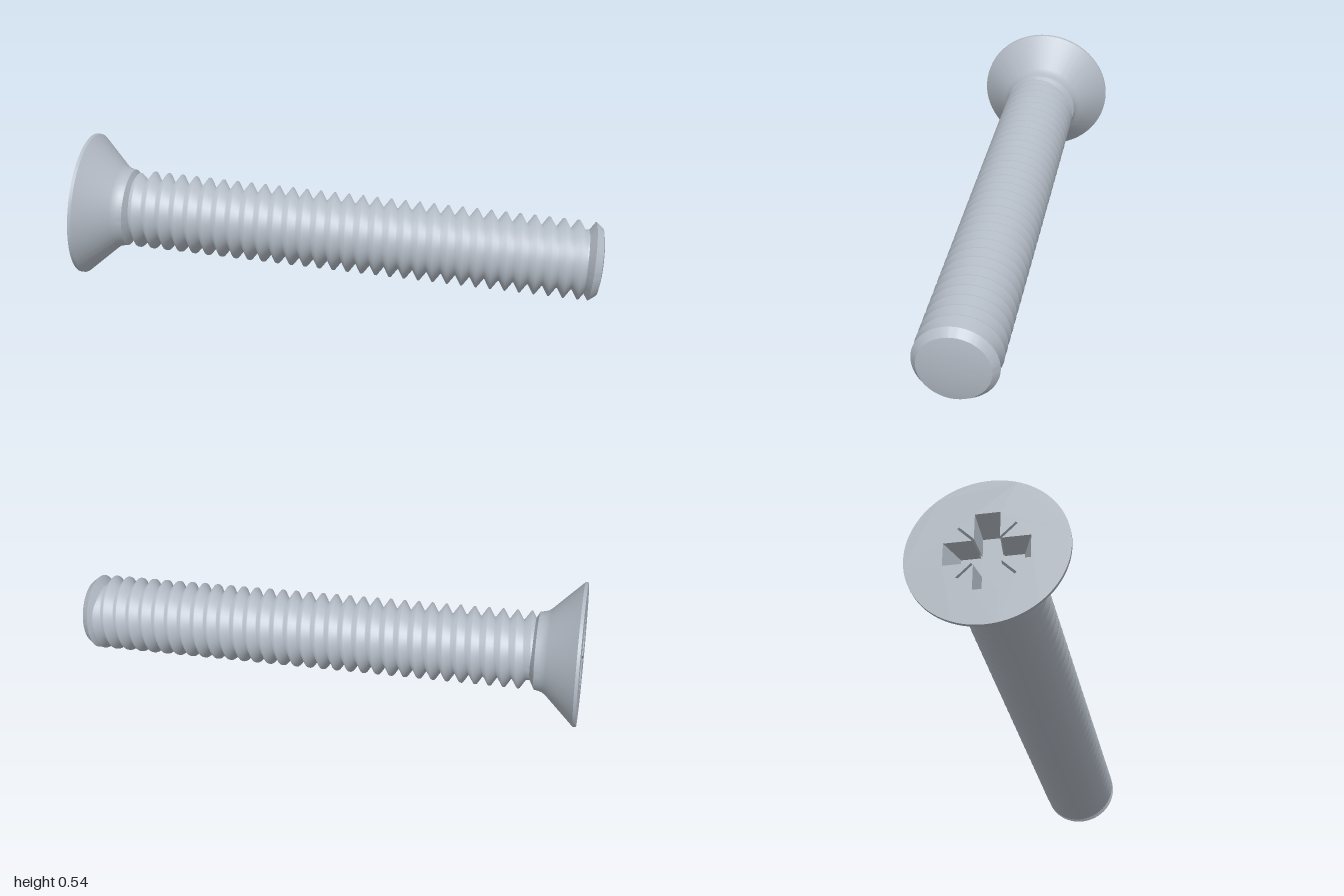
import * as THREE from 'three';
import { toCreasedNormals } from 'three/addons/utils/BufferGeometryUtils.js';

const steel = new THREE.MeshStandardMaterial({ color: 0xb3bbc5 });
steel.name = 'steel';

const HEAD_R = 0.27, CREST = 0.148, ROOT = 0.114, PITCH = 0.054, LENGTH = 1.966;

function part(name, geometry) {
  const mesh = new THREE.Mesh(geometry, steel);
  mesh.name = name;
  return mesh;
}

function lathe(points) {
  const pts = points.map(([r, y]) => new THREE.Vector2(r, y));
  return toCreasedNormals(new THREE.LatheGeometry(pts, 96), 0.6);
}

// Cross outline with a thin diagonal slit in each inner corner
function crossOutline(reach, w, slit, e) {
  const quarter = [[reach, -w], [reach, w], [w + e, w], [slit + e, slit], [slit, slit + e], [w, w + e]];
  const pts = [];
  for (let q = 0; q < 4; q++) {
    for (const [x, y] of quarter) {
      pts.push(new THREE.Vector2(x, y).rotateAround(new THREE.Vector2(), q * Math.PI / 2));
    }
  }
  return pts;
}

// Sloping walls from the outline on the face to the one at the bottom
function recessWalls(top, bottom, depth) {
  const pos = [];
  for (let i = 0; i < top.length; i++) {
    const k = (i + 1) % top.length;
    const a = [top[i].x, 0, top[i].y], b = [top[k].x, 0, top[k].y];
    const c = [bottom[i].x, depth, bottom[i].y], d = [bottom[k].x, depth, bottom[k].y];
    pos.push(...a, ...b, ...c, ...b, ...d, ...c);
  }
  const g = new THREE.BufferGeometry();
  g.setAttribute('position', new THREE.Float32BufferAttribute(pos, 3));
  g.computeVertexNormals();
  return g;
}

// Thread profile swept along the helix, with soft normals that lean only slightly along the axis.
// Each profile point is [fraction of the pitch, radius, lean of the normal].
function threadGeometry(profile, y0, turns) {
  const per = 48, n = Math.round(turns * per), m = profile.length;
  const pos = [], normal = [], index = [];
  for (let i = 0; i <= n; i++) {
    const t = i / per, a = t * Math.PI * 2;
    const fade = Math.max(0, Math.min(1, t / 0.3, (turns - t) / 0.3));
    profile.forEach(([f, r, lean], j) => {
      const radius = ROOT + (r - ROOT) * fade, flat = Math.sqrt(1 - lean * lean);
      pos.push(radius * Math.sin(a), y0 + PITCH * (t + f), radius * Math.cos(a));
      normal.push(flat * Math.sin(a), lean, flat * Math.cos(a));
      if (i < n && j < m - 1) {
        const k = i * m + j;
        index.push(k, k + m, k + 1, k + m, k + m + 1, k + 1);
      }
    });
  }
  const g = new THREE.BufferGeometry();
  g.setAttribute('position', new THREE.Float32BufferAttribute(pos, 3));
  g.setAttribute('normal', new THREE.Float32BufferAttribute(normal, 3));
  g.setIndex(index);
  return g;
}

export function createModel() {
  const model = new THREE.Group();
  model.name = 'screw';
  const screw = new THREE.Group();
  screw.name = 'screwBody';
  model.add(screw);

  // Countersunk head, fillet and short neck
  screw.add(part('head', lathe([
    [HEAD_R, 0], [HEAD_R, 0.012], [0.164, 0.122], [0.154, 0.136], [0.15, 0.15],
    [0.147, 0.166], [ROOT, 0.184],
  ])));

  // Head face with the drive recess
  const depth = 0.09;
  const rim = crossOutline(0.142, 0.042, 0.092, 0.006);
  const floor = crossOutline(0.105, 0.034, 0.05, 0.004);
  const face = new THREE.Shape();
  face.absarc(0, 0, HEAD_R, 0, Math.PI * 2);
  face.holes.push(new THREE.Path(rim));
  screw.add(part('headFace', new THREE.ShapeGeometry(face, 96).rotateX(Math.PI / 2)));
  screw.add(part('recessWalls', recessWalls(rim, floor, depth)));
  screw.add(part('recessFloor',
    new THREE.ShapeGeometry(new THREE.Shape(floor)).rotateX(Math.PI / 2).translate(0, depth, 0)));

  // Core and thread
  screw.add(part('core', lathe([[ROOT - 0.001, 0.17], [ROOT - 0.001, 1.93]])));
  const profile = [
    [0, ROOT, 0.2], [0.08, ROOT, -0.2], [0.48, CREST, -0.2], [0.58, CREST, 0.2], [1, ROOT, 0.2],
  ];
  screw.add(part('thread', threadGeometry(profile, 0.15, 32.2)));

  // Chamfered tip with a slightly domed end
  screw.add(part('tip', lathe([
    [ROOT, 1.904], [0.147, 1.926], [0.125, LENGTH - 0.012],
    [0.095, LENGTH - 0.006], [0.05, LENGTH - 0.002], [0, LENGTH],
  ])));

  // Lay the screw down along its slanted axis
  const along = new THREE.Vector3(0.976, -0.0635, 0.2075).normalize();
  const up = new THREE.Vector3(0, 1, 0).addScaledVector(along, -along.y).normalize();
  const side = new THREE.Vector3().crossVectors(up, along);
  screw.quaternion.setFromRotationMatrix(new THREE.Matrix4().makeBasis(up, along, side));
  screw.position.set(-0.941, 0.27, -0.138);
  return model;
}
